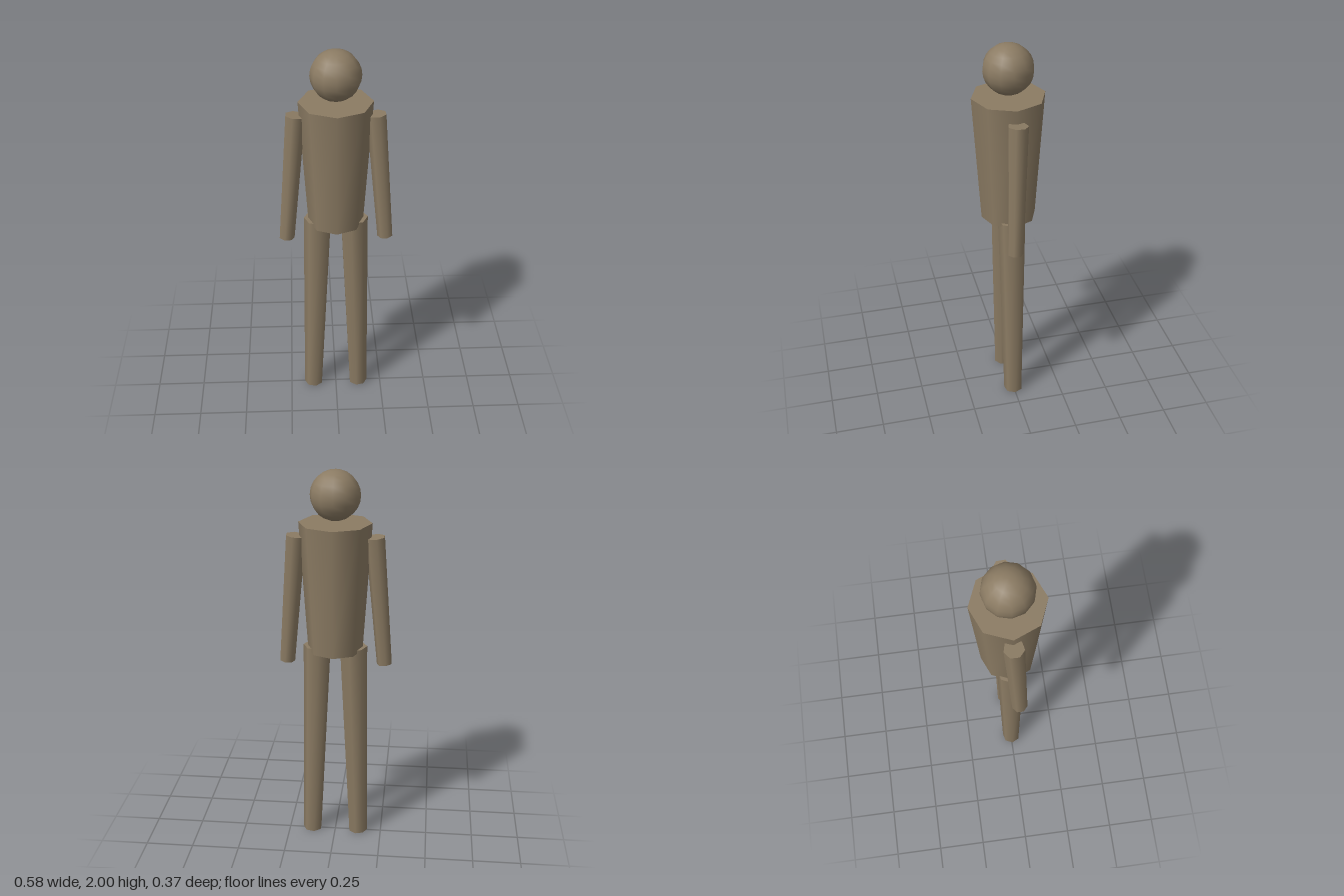
import * as THREE from 'three';

const material = new THREE.MeshStandardMaterial({ color: 0x8b7b63 });

function addPart(group, name, geometry) {
  const mesh = new THREE.Mesh(geometry, material);
  mesh.name = name;
  group.add(mesh);
  return mesh;
}

// Tapered seven-sided limb between two points, one corner facing its lean
function addLimb(group, name, top, bottom, rTop, rBottom) {
  const axis = top.clone().sub(bottom);
  const geometry = new THREE.CylinderGeometry(rTop, rBottom, axis.length(), 7);
  geometry.rotateY(Math.atan2(-axis.x, -axis.z));
  const limb = addPart(group, name, geometry);
  limb.position.copy(top).add(bottom).multiplyScalar(0.5);
  limb.quaternion.setFromUnitVectors(new THREE.Vector3(0, 1, 0), axis.normalize());
}

export function createModel() {
  const figure = new THREE.Group();
  figure.name = 'figure';

  // Floating ball head
  addPart(figure, 'head', new THREE.SphereGeometry(0.125, 12, 12)).position.y = 1.875;

  // Eight-sided torso, wider at the shoulders
  addPart(figure, 'torso', new THREE.CylinderGeometry(0.183, 0.14, 0.665, 8)).position.y = 1.4075;

  // Mirrored arms and legs
  for (const [side, s] of [['left', 1], ['right', -1]]) {
    const point = (x, y, z) => new THREE.Vector3(s * x, y, z);
    addLimb(figure, side + 'Arm', point(0.197, 1.672, 0), point(0.253, 0.995, 0.025), 0.05, 0.04);
    addLimb(figure, side + 'Leg', point(0.092, 1.093, 0.002), point(0.125, 0.003, 0.002), 0.072, 0.05);
  }
  return figure;
}
